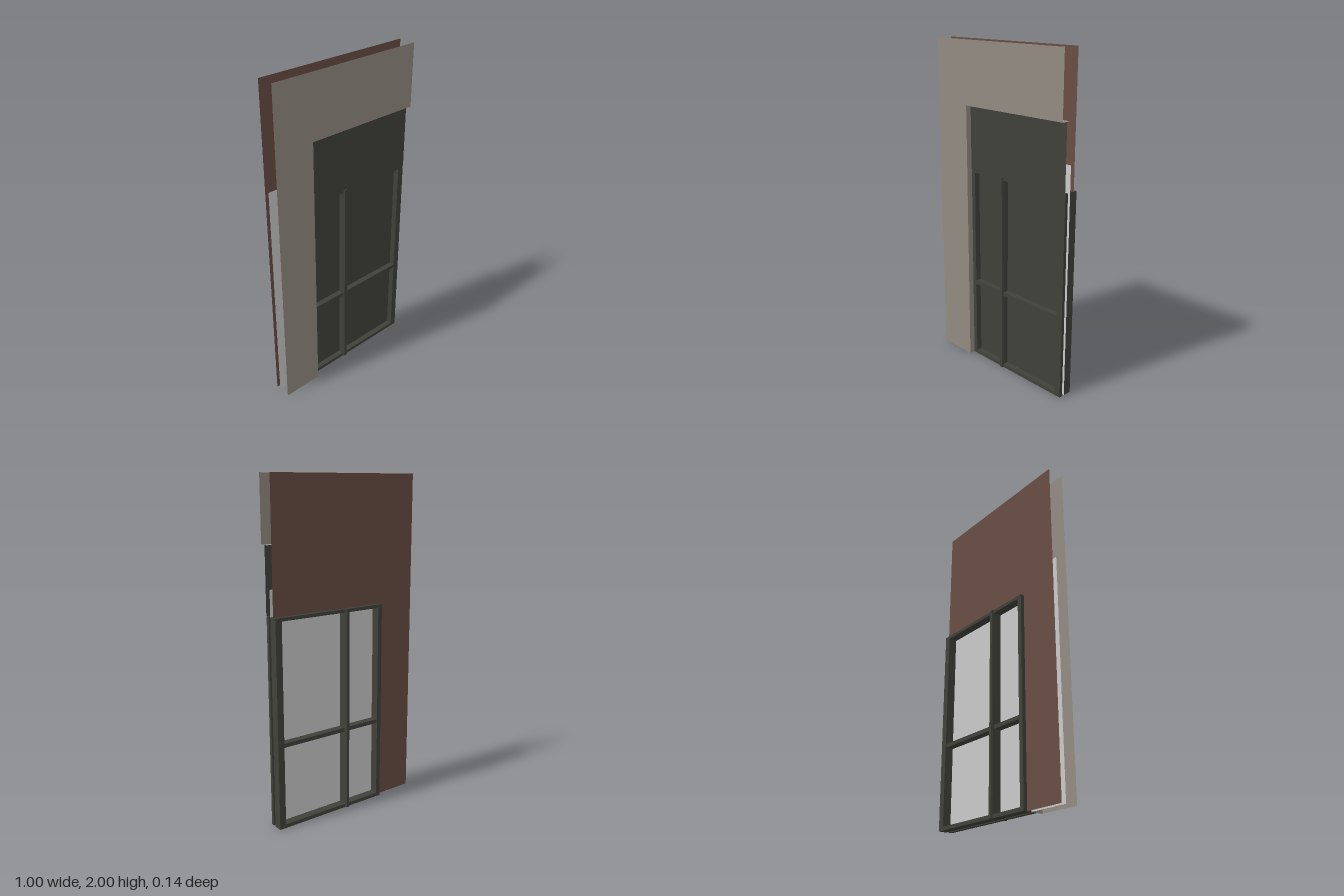
import * as THREE from 'three';

const material = (name, color, side = THREE.FrontSide) => {
  const m = new THREE.MeshStandardMaterial({ color, side });
  m.name = name;
  return m;
};

// Rectangles are [x0, y0, x1, y1]
const trace = (path, [x0, y0, x1, y1]) => {
  path.moveTo(x0, y0);
  path.lineTo(x1, y0);
  path.lineTo(x1, y1);
  path.lineTo(x0, y1);
  path.closePath();
  return path;
};

const shapeOf = (outer, holes = []) => {
  const shape = trace(new THREE.Shape(), outer);
  for (const h of holes) shape.holes.push(trace(new THREE.Path(), h));
  return shape;
};

export function createModel() {
  const group = new THREE.Group();
  const plaster = material('beige plaster', 0x938b82, THREE.DoubleSide);
  const brick = material('brown outer wall', 0x684d43, THREE.DoubleSide);
  const curtainGrey = material('light grey curtain', 0xcacaca, THREE.DoubleSide);
  const darkMetal = material('dark frame', 0x40413a);
  const darkSheet = material('dark panel', 0x40413a, THREE.DoubleSide);
  darkSheet.color.copy(darkMetal.color);

  const add = (name, geometry, mat) => {
    const mesh = new THREE.Mesh(geometry, mat);
    mesh.name = name;
    group.add(mesh);
    return mesh;
  };
  // Flat sheet at depth z
  const sheet = (name, shape, z, mat) =>
    add(name, new THREE.ShapeGeometry(shape).translate(0, 0, z), mat);
  // Slab with openings, from z0 to z1
  const slab = (name, outer, holes, z0, z1) =>
    add(name, new THREE.ExtrudeGeometry(shapeOf(outer, holes),
      { depth: z1 - z0, bevelEnabled: false }).translate(0, 0, z0), darkMetal);

  const left = -0.25, right = 0.5, windowTop = 1.24, openingTop = 1.625;
  const wallZ = 0.068, revealZ = 0.011, glassZ = -0.006;
  const columns = [[-0.222, 0], [0.027, 0.46]];
  const rows = [[0.022, 0.492], [0.516, 1.22]];
  const panes = columns.flatMap(([x0, x1]) => rows.map(([y0, y1]) => [x0, y0, x1, y1]));

  // L-shaped walls around openings that reach the floor and the right edge
  const wallShape = (top) => new THREE.Shape([
    [-0.5, 0], [left, 0], [left, top], [right, top], [right, 2], [-0.5, 2],
  ].map(([x, y]) => new THREE.Vector2(x, y)));
  sheet('frontWall', wallShape(openingTop), wallZ, plaster);
  sheet('backWall', wallShape(windowTop), -0.035, brick);

  // Reveal of the front opening: side and soffit
  const depth = wallZ - revealZ, midZ = (wallZ + revealZ) / 2;
  add('sideReveal', new THREE.PlaneGeometry(depth, openingTop)
    .rotateY(Math.PI / 2).translate(left, openingTop / 2, midZ), plaster);
  add('soffit', new THREE.PlaneGeometry(right - left, depth)
    .rotateX(Math.PI / 2).translate((left + right) / 2, openingTop, midZ), plaster);

  // Panel above the window, and the curtain sheet between the walls
  sheet('headPanel', shapeOf([left, windowTop, right, openingTop]), 0.034, darkSheet);
  sheet('curtain', shapeOf([-0.5, 0, 0.5, 1.39]), glassZ, curtainGrey);

  // Front frame, pane linings and dark panes
  const outline = [left, 0, right, windowTop];
  slab('frontFrame', outline, panes, revealZ, 0.032);
  for (const p of panes) {
    const [x0, y0, x1, y1] = p, t = 0.003;
    slab('paneLining', [x0 - t, y0 - t, x1 + t, y1 + t], [p], glassZ + 0.001, revealZ);
    sheet('darkPane', shapeOf(p), glassZ + 0.003, darkMetal);
  }

  // Back frame: two tall bays with slightly recessed middle rails
  const bays = columns.map(([x0, x1]) => [x0, rows[0][0], x1, rows[1][1]]);
  slab('backFrame', outline, bays, -0.058, glassZ);
  for (const [x0, x1] of columns)
    slab('backRail', [x0, rows[0][1], x1, rows[1][0]], [], -0.052, glassZ);

  // Chamfered cover strips on the mullion, front and back
  const strip = new THREE.Shape([
    [-0.0135, 0], [0.0135, 0], [0.009, 0.01], [-0.009, 0.01],
  ].map(([x, y]) => new THREE.Vector2(x, y)));
  for (const side of [1, -1]) {
    const g = new THREE.ExtrudeGeometry(strip, { depth: windowTop, bevelEnabled: false });
    // Stand the strip upright, with its narrow side facing outward
    g.rotateX(-Math.PI / 2);
    if (side > 0) g.rotateY(Math.PI);
    g.translate(0.0135, 0, side > 0 ? 0.032 : -0.058);
    add(side > 0 ? 'frontMullionCover' : 'backMullionCover', g, darkMetal);
  }
  return group;
}
